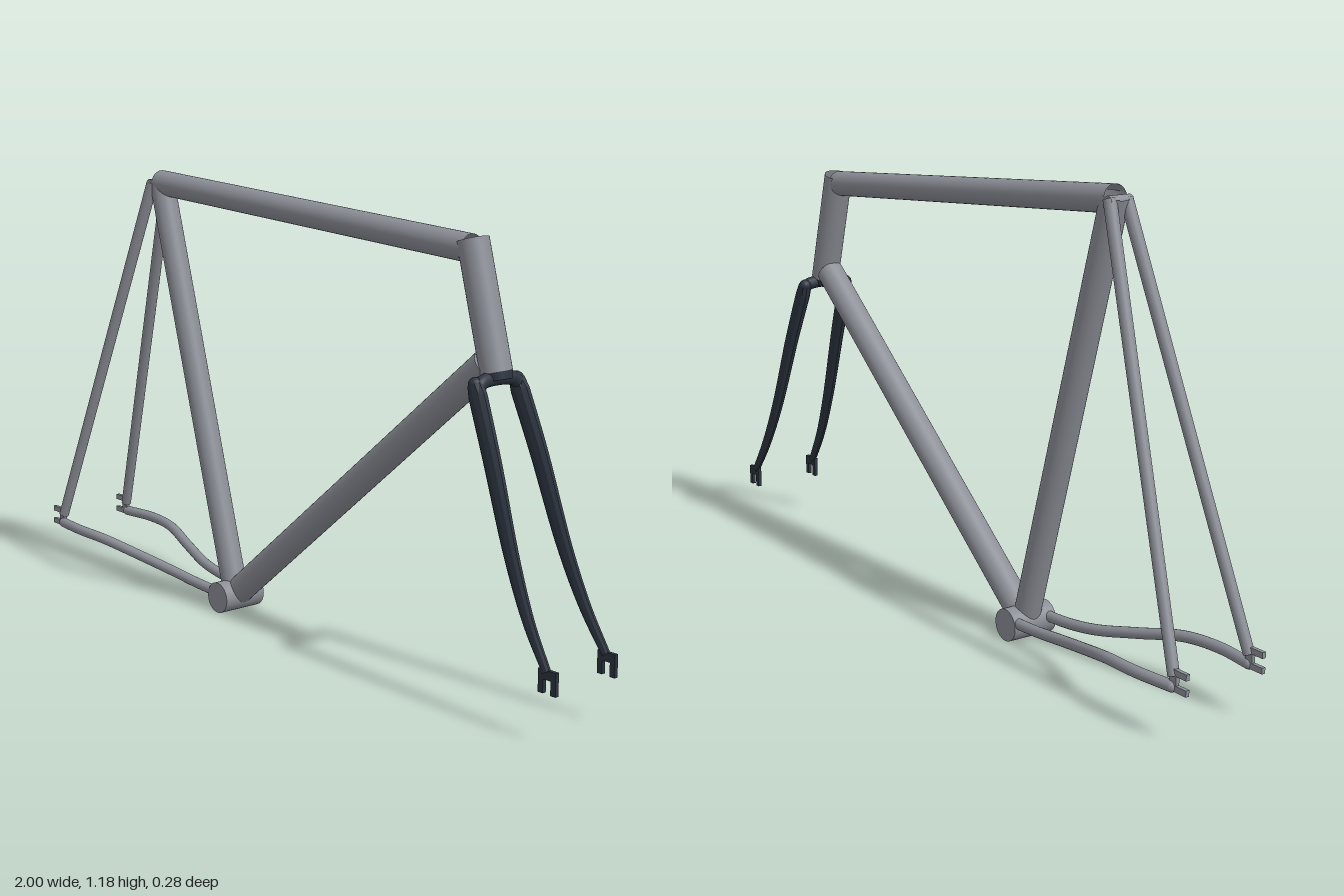
import * as THREE from 'three';

const V = (x, y, z = 0) => new THREE.Vector3(x, y, z);

export function createModel() {
  const root = new THREE.Group();
  root.name = 'bicycleFrame';
  const frameMat = new THREE.MeshStandardMaterial({ color: 0x8b8e96, side: THREE.DoubleSide });
  const forkMat = new THREE.MeshStandardMaterial({ color: 0x2c3440, side: THREE.DoubleSide });
  const bladeMat = forkMat.clone();
  bladeMat.flatShading = true;

  const add = (name, geometry, material = frameMat, parent = root) => {
    const mesh = new THREE.Mesh(geometry, material);
    mesh.name = name;
    parent.add(mesh);
    return mesh;
  };

  // Straight tube between two points
  const tube = (name, a, b, r1, r2 = r1, open = false, material = frameMat, parent = root) => {
    const dir = b.clone().sub(a);
    const mesh = add(name, new THREE.CylinderGeometry(r2, r1, dir.length(), 32, 1, open), material, parent);
    mesh.position.copy(a).add(b).multiplyScalar(0.5);
    mesh.quaternion.setFromUnitVectors(V(0, 1, 0), dir.normalize());
    return mesh;
  };

  // Thin slotted plate, mouth towards -x, centred on the slot
  const dropout = (name, material, parent, x, y, z, angle) => {
    const s = new THREE.Shape();
    [[0.03, -0.026], [0.03, 0.026], [-0.025, 0.026], [-0.025, 0.011],
      [0.008, 0.011], [0.008, -0.011], [-0.025, -0.011], [-0.025, -0.026]]
      .forEach(([px, py], i) => (i ? s.lineTo(px, py) : s.moveTo(px, py)));
    s.closePath();
    const g = new THREE.ExtrudeGeometry(s, { depth: 0.01, bevelEnabled: false });
    g.translate(0, 0, -0.005);
    const mesh = add(name, g, material, parent);
    mesh.position.set(x, y, z);
    mesh.rotation.z = angle;
  };

  // Main triangle
  const bb = V(-0.265, 0.042);
  const headTop = V(0.62, 1.082), headBottom = V(0.702, 0.785);
  tube('bottomBracketShell', V(bb.x, bb.y, -0.064), V(bb.x, bb.y, 0.064), 0.042);
  tube('seatTube', bb, V(-0.587, 1.155), 0.034, 0.034, true);
  tube('topTube', V(-0.588, 1.147), V(0.615, 1.06), 0.034, 0.034, true);
  tube('downTube', bb, V(0.675, 0.803), 0.037);
  tube('headTube', headBottom, headTop, 0.038, 0.038, true);

  // Seat cluster joining the stays behind the seat tube
  tube('seatStayBridge', V(-0.6, 1.143, -0.032), V(-0.6, 1.143, 0.032), 0.014);

  // Rear triangle, mirrored
  for (const s of [1, -1]) {
    const side = new THREE.Group();
    side.name = s > 0 ? 'rearFront' : 'rearBack';
    root.add(side);

    tube('seatStay', V(-0.953, 0.15, s * 0.112), V(-0.597, 1.148, s * 0.024), 0.014, 0.016, false, frameMat, side);

    const path = new THREE.CatmullRomCurve3([
      [-0.25, 0.05, 0.048], [-0.38, 0.057, 0.05], [-0.48, 0.07, 0.058], [-0.6, 0.094, 0.085],
      [-0.73, 0.12, 0.117], [-0.84, 0.126, 0.126], [-0.95, 0.126, 0.115],
    ].map(([x, y, z]) => V(x, y, s * z)));
    add('chainStay', new THREE.TubeGeometry(path, 48, 0.014, 16), frameMat, side);
    add('chainStayEnd', new THREE.SphereGeometry(0.014, 16, 10), frameMat, side)
      .position.copy(path.getPoint(1));
    dropout('rearDropout', frameMat, side, -0.975, 0.143, s * 0.113, 0);
  }

  // Fork crown
  const crown = new THREE.Group();
  crown.name = 'forkCrown';
  crown.position.set(0.704, 0.777, 0);
  crown.rotation.z = Math.atan2(headTop.x - headBottom.x, headBottom.y - headTop.y) + Math.PI;
  root.add(crown);
  add('crownRace', new THREE.CylinderGeometry(0.037, 0.034, 0.022, 32), forkMat, crown);
  const arch = new THREE.CatmullRomCurve3([
    V(0, -0.026, -0.07), V(0, -0.01, -0.052), V(0, -0.004, 0), V(0, -0.01, 0.052), V(0, -0.026, 0.07),
  ]);
  add('crownArch', new THREE.TubeGeometry(arch, 24, 0.017, 12), forkMat, crown);

  // Fork blades: oval tubes that taper towards the tips
  for (const s of [1, -1]) {
    const path = new THREE.CatmullRomCurve3([
      [0.702, 0.765, 0.067], [0.767, 0.604, 0.076], [0.846, 0.39, 0.086], [0.906, 0.262, 0.093], [0.967, 0.165, 0.098],
    ].map(([x, y, z]) => V(x, y, s * z)));
    const rings = 24, sides = 10;
    const g = new THREE.TubeGeometry(path, rings, 1, sides);
    const pos = g.attributes.position, p = V(0, 0);
    for (let i = 0; i <= rings; i++) {
      const t = i / rings, c = path.getPointAt(t);
      const wide = (0.027 - 0.015 * t * t) * (i ? 1 : 0.75);
      const thin = 0.017 - 0.008 * t;
      for (let j = 0; j <= sides; j++) {
        const k = i * (sides + 1) + j;
        p.fromBufferAttribute(pos, k).sub(c);
        pos.setXYZ(k, c.x + p.x * wide, c.y + p.y * wide, c.z + p.z * thin);
      }
    }
    g.computeVertexNormals();
    const blade = new THREE.Group();
    blade.name = s > 0 ? 'forkBladeFront' : 'forkBladeBack';
    root.add(blade);
    add('blade', g, bladeMat, blade);
    add('bladeTop', new THREE.SphereGeometry(0.017, 16, 10), forkMat, blade).position.copy(path.getPoint(0));
    dropout('forkDropout', forkMat, blade, 0.972, 0.142, s * 0.098, Math.PI / 2);
  }
  return root;
}
